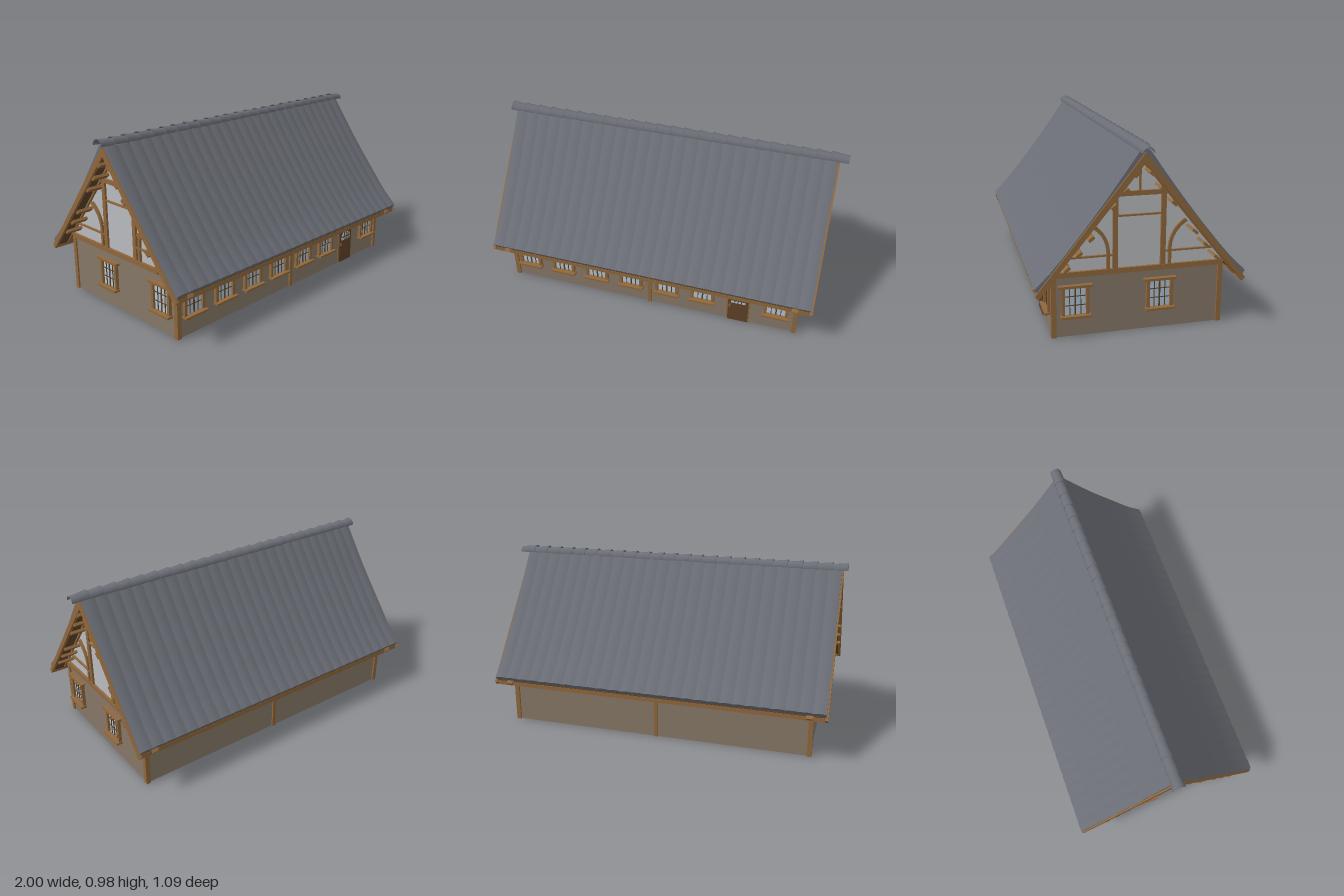
import * as THREE from 'three';
import { toCreasedNormals } from 'three/addons/utils/BufferGeometryUtils.js';

const material = (name, color, side = THREE.FrontSide) => {
  const m = new THREE.MeshStandardMaterial({ color, side });
  m.name = name;
  return m;
};

export function createModel() {
  const tile = material('slate tile', 0x6a6d75, THREE.DoubleSide);
  const timber = material('timber', 0x8f673c);
  const darkWood = material('dark wood', 0x5e4228);
  const clay = material('clay wall', 0x867767);
  const plaster = material('white plaster', 0xb9bbbe);
  const glass = material('window glass', 0xb0c4d4);

  const model = new THREE.Group();
  const house = new THREE.Group();
  house.name = 'house';
  house.position.x = -0.01;
  model.add(house);

  const add = (parent, name, geo, mat) => {
    const mesh = new THREE.Mesh(geo, mat);
    mesh.name = name;
    parent.add(mesh);
    return mesh;
  };
  const box = (parent, name, mat, w, h, d, x, y, z) => {
    const mesh = add(parent, name, new THREE.BoxGeometry(w, h, d), mat);
    mesh.position.set(x, y, z);
    return mesh;
  };
  const polygon = pts => new THREE.Shape(pts.map(p => new THREE.Vector2(p[0], p[1])));
  // Flat plate in the xy plane, running from z0 to z1
  const plate = (parent, name, mat, shape, z0, z1) => {
    const geo = new THREE.ExtrudeGeometry(shape, { depth: z1 - z0, bevelEnabled: false, curveSegments: 10 });
    geo.translate(0, 0, z0);
    return add(parent, name, geo, mat);
  };
  // Symmetric section given by its right half, outer points up to the middle then inner points down
  const chevron = (outer, inner) => {
    const flip = list => list.filter(p => p[0] > 0).map(p => [-p[0], p[1]]).reverse();
    return polygon([...outer, ...flip(outer), ...flip(inner), ...[...inner]]);
  };

  // Lattice window facing +z, visible on both sides of the wall
  const latticeWindow = (parent, x, z, turn = 0) => {
    const g = new THREE.Group();
    g.name = 'window';
    g.position.set(x, 0, z);
    g.rotation.y = turn;
    parent.add(g);
    box(g, 'pane', glass, 0.11, 0.145, 0.03, 0, 0.19, -0.01);
    for (const s of [-1, 1]) box(g, 'jamb', timber, 0.017, 0.15, 0.056, s * 0.062, 0.19, -0.01);
    box(g, 'head', timber, 0.172, 0.013, 0.066, 0, 0.269, -0.007);
    box(g, 'sill', timber, 0.154, 0.012, 0.076, 0, 0.112, -0.002);
    for (const s of [-1, 0, 1])
      box(g, 'glazingBar', darkWood, s ? 0.004 : 0.008, 0.145, 0.038, s * 0.028, 0.19, -0.01);
    for (const y of [0.167, 0.215]) box(g, 'glazingBar', darkWood, 0.106, 0.004, 0.037, 0, y, -0.01);
  };

  // Long walls with middle posts and wall plates
  for (const s of [-1, 1]) {
    box(house, 'longWall', clay, 1.75, 0.34, 0.012, 0, 0.17, s * 0.434);
    box(house, 'longWallLining', plaster, 1.73, 0.335, 0.012, 0, 0.1685, s * 0.422);
    box(house, 'wallPlate', timber, 1.76, 0.025, 0.03, 0, 0.33, s * 0.415);
    box(house, 'middlePost', timber, 0.022, 0.34, 0.022, 0, 0.17, s * 0.438);
    for (const e of [-1, 1]) box(house, 'cornerPost', timber, 0.026, 0.33, 0.026, e * 0.872, 0.165, s * 0.437);
  }

  // Half-timbered gable drawn facing +z, then turned to face along x
  const gable = (x, turn) => {
    const g = new THREE.Group();
    g.name = 'gable';
    g.position.x = x;
    g.rotation.y = turn;
    house.add(g);
    plate(g, 'gablePanel', plaster, polygon([[-0.44, 0.325], [0.44, 0.325], [0.44, 0.37], [0, 0.915], [-0.44, 0.37]]), -0.02, 0);
    const front = (name, w, h, u, v) => box(g, name, timber, w, h, 0.014, u, v, 0.005);
    box(g, 'tieBeam', timber, 0.9, 0.027, 0.05, 0, 0.329, -0.011);
    front('collarBeam', 0.31, 0.024, 0, 0.722);
    front('kingPost', 0.01, 0.17, 0, 0.815);
    front('crossRail', 0.23, 0.009, 0, 0.612);
    for (const s of [-1, 1]) {
      front('stud', 0.026, 0.375, s * 0.124, 0.527);
      front('lowRail', 0.26, 0.009, s * 0.26, 0.413);
      const brace = new THREE.Shape();
      brace.moveTo(s * 0.152, 0.34);
      brace.lineTo(s * 0.152, 0.43);
      brace.quadraticCurveTo(s * 0.156, 0.525, s * 0.237, 0.578);
      brace.lineTo(s * 0.25, 0.563);
      brace.quadraticCurveTo(s * 0.172, 0.515, s * 0.168, 0.43);
      brace.lineTo(s * 0.168, 0.34);
      plate(g, 'curvedBrace', timber, brace, -0.002, 0.013);
    }
    return g;
  };

  // End walls, gables, rafters and lath ends
  for (const e of [-1, 1]) {
    box(house, 'endWall', clay, 0.012, 0.32, 0.86, e * 0.87, 0.16, 0);
    box(house, 'endWallLining', plaster, 0.012, 0.335, 0.85, e * 0.858, 0.1685, 0);
    for (const z of [0.328, -0.11]) latticeWindow(house, e * 0.876, z, e * Math.PI / 2);
    const g = gable(e * 0.872, e * Math.PI / 2);
    const rafters = chevron(
      [[0.54, 0.265], [0, 0.938]],
      [[0, 0.887], [0.523, 0.247]]);
    plate(g, 'bargeBoard', timber, rafters, 0.076, 0.092);
    plate(g, 'gableRafter', timber, rafters, -0.022, 0.014);
    for (const [z, y] of [[0.382, 0.384], [0.322, 0.455], [0.262, 0.529], [0.15, 0.679], [0.092, 0.754], [0.038, 0.832]])
      for (const s of [-1, 1]) {
        const lath = box(g, 'lathEnd', timber, 0.034, 0.015, 0.09, s * z, y, 0.045);
        lath.rotation.z = -s * 0.68;
      }
  }
  gable(0, Math.PI / 2);

  // Front windows
  for (const x of [-0.77, -0.55, -0.332, -0.116, 0.108, 0.326, 0.76]) latticeWindow(house, x, 0.44);

  // Arched door with a small fan of panes
  const arch = (w, y0, y1, rise) => {
    const s = new THREE.Shape();
    s.moveTo(-w, y0);
    s.lineTo(w, y0);
    s.lineTo(w, y1);
    s.quadraticCurveTo(w * 0.75, y1 + rise, 0, y1 + rise);
    s.quadraticCurveTo(-w * 0.75, y1 + rise, -w, y1);
    return s;
  };
  const door = new THREE.Group();
  door.name = 'door';
  door.position.set(0.54, 0, 0.434);
  house.add(door);
  plate(door, 'doorFrame', timber, arch(0.068, 0, 0.222, 0.036), -0.022, 0.01);
  plate(door, 'doorLeaf', darkWood, arch(0.06, 0.002, 0.22, 0.03), -0.026, 0.015);
  plate(door, 'doorPane', glass, arch(0.042, 0.145, 0.175, 0.022), -0.029, 0.018);
  for (const x of [-0.02, 0, 0.02]) box(door, 'doorBar', darkWood, 0.005, 0.055, 0.052, x, 0.171, -0.005);
  box(door, 'doorBar', darkWood, 0.086, 0.006, 0.053, 0, 0.168, -0.005);
  box(door, 'doorHandle', timber, 0.008, 0.018, 0.008, -0.05, 0.12, 0.018);

  // Roof boarding and eave boards
  const boards = plate(house, 'roofBoarding', darkWood,
    chevron([[0.528, 0.277], [0, 0.936]], [[0, 0.908], [0.522, 0.256]]), -0.95, 0.95);
  boards.rotation.y = Math.PI / 2;
  for (const s of [-1, 1]) box(house, 'eaveBoard', timber, 1.9, 0.024, 0.014, 0, 0.262, s * 0.522);

  // Tiled roof: a swept section with shallow scallops along its length
  const section = chevron(
    [[0.541, 0.298], [0.47, 0.367], [0.4, 0.448], [0.3, 0.572], [0.2, 0.702], [0.1, 0.84], [0.03, 0.94], [0, 0.958]],
    [[0, 0.934], [0.525, 0.276]]);
  const roofGeo = new THREE.ExtrudeGeometry(section, { depth: 1.91, steps: 162, bevelEnabled: false });
  roofGeo.translate(0, 0, -0.955);
  const p = roofGeo.attributes.position;
  for (let i = 0; i < p.count; i++) {
    const wave = Math.abs(Math.sin((p.getZ(i) / 1.91 + 0.5) * Math.PI * 27)) * 0.004;
    p.setXY(i, p.getX(i) + Math.sign(p.getX(i)) * wave * 0.6, p.getY(i) + wave);
  }
  const roof = add(house, 'tiledRoof', toCreasedNormals(roofGeo, 0.3), tile);
  roof.rotation.y = Math.PI / 2;

  // Ridge: two overlapping runs of tapered half-round caps
  const cap = new THREE.CylinderGeometry(0.036, 0.030, 0.1, 14, 1, true, 0, Math.PI);
  cap.rotateZ(Math.PI / 2);
  const rim = new THREE.TorusGeometry(0.034, 0.003, 5, 14, Math.PI);
  rim.rotateY(Math.PI / 2);
  for (const start of [-0.95, -0.046])
    for (let i = 0; i < 13; i++) {
      const ridge = new THREE.Group();
      ridge.name = 'ridgeTile';
      ridge.position.set(start + i * 0.083, 0.943, 0);
      ridge.rotation.z = -0.06;
      add(ridge, 'ridgeCap', cap, tile);
      add(ridge, 'ridgeRim', rim, tile).position.x = -0.047;
      model.add(ridge);
    }
  return model;
}
